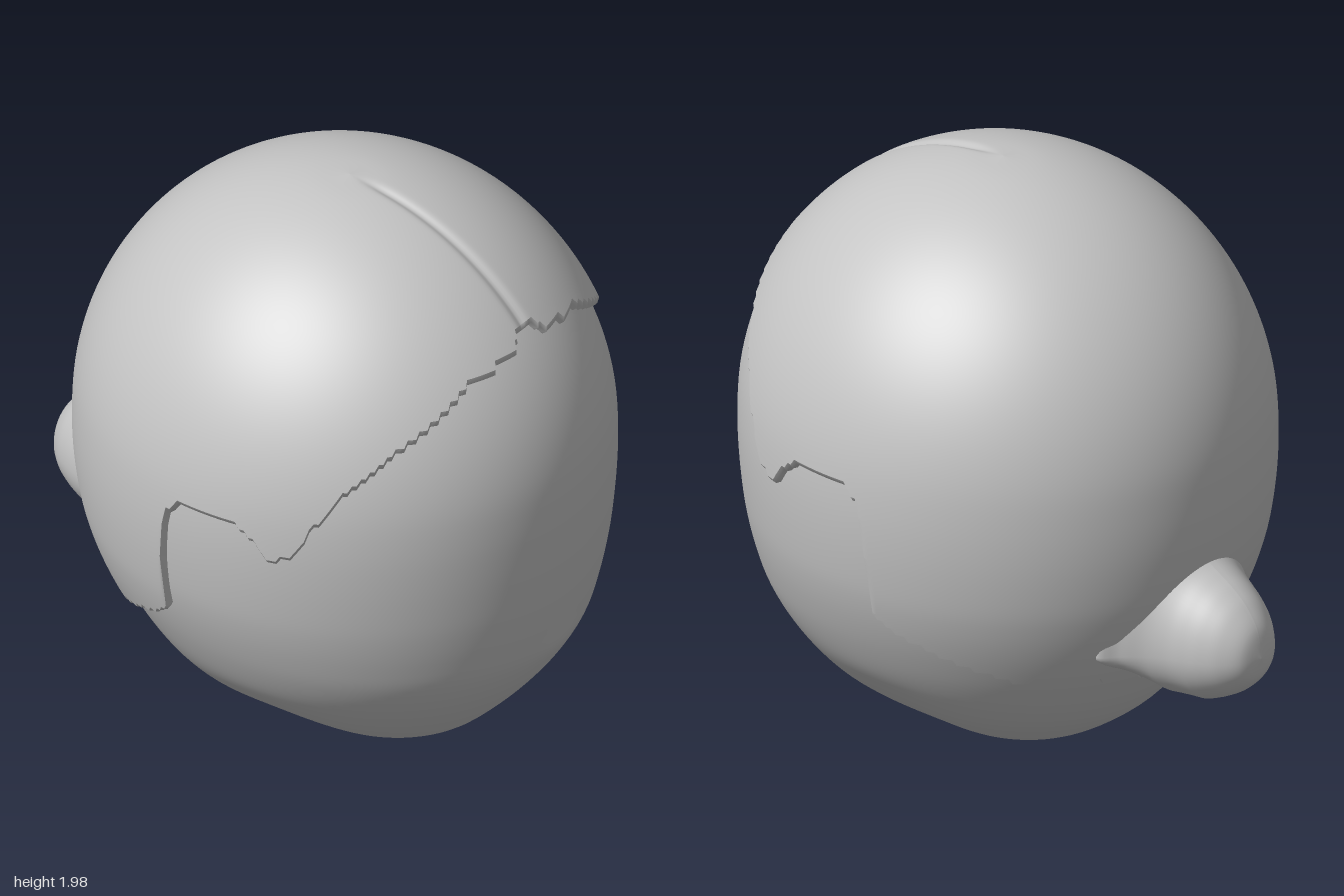
import * as THREE from 'three';

const COLS = 360;

// Skull cross-sections from chin to cheeks: height, half width, front z, back z
const SECTIONS = [
  [0.03, 0, 0.15, 0.15], [0.012, 0.13, 0.37, -0.06], [0.04, 0.235, 0.5, -0.17],
  [0.1, 0.34, 0.61, -0.29], [0.2, 0.47, 0.715, -0.425], [0.3, 0.565, 0.803, -0.515],
  [0.4, 0.637, 0.875, -0.58], [0.5, 0.692, 0.927, -0.635], [0.6, 0.735, 0.953, -0.68],
  [0.7, 0.768, 0.971, -0.714], [0.8, 0.79, 0.983, -0.737], [0.94, 0.807, 0.993, -0.753],
];
// Rounded dome from the temples to the crown
for (let i = 0; i <= 10; i++) {
  const a = (i / 10) * Math.PI / 2, r = 0.875 * Math.cos(a);
  SECTIONS.push([1.08 + 0.88 * Math.sin(a), 0.812 * Math.cos(a), 0.12 + r, 0.12 - r]);
}
const curveOf = (pick) => new THREE.CatmullRomCurve3(SECTIONS.map(pick), false, 'catmullrom', 0.5);
const sideCurve = curveOf(([y, w]) => new THREE.Vector3(w, y, 0));
const depthCurve = curveOf(([, , f, b]) => new THREE.Vector3(f, b, 0));
const CENTRE = new THREE.Vector3(0, 1.05, 0.12);
const bell = (v, size) => Math.exp(-((v / size) ** 2));

// Point on the skull at profile position u and angle t around it, pushed out by offset
function skullPoint(u, t, offset) {
  const s = sideCurve.getPoint(u), d = depthCurve.getPoint(u);
  const p = new THREE.Vector3(
    Math.max(s.x, 0) * Math.sin(t), s.y,
    (d.x + d.y) / 2 + ((d.x - d.y) / 2) * Math.cos(t));
  const dir = p.clone().sub(CENTRE).normalize();
  return p.addScaledVector(dir, offset);
}

// Profile position for a given height
function profileAt(y) {
  let lo = 0.1, hi = 1;
  for (let i = 0; i < 30; i++) {
    const mid = (lo + hi) / 2;
    if (sideCurve.getPoint(mid).y < y) lo = mid; else hi = mid;
  }
  return lo;
}

// Closed-around grid of points, rows running upwards
function wrapGrid(rows, pointAt) {
  const pos = [], index = [];
  for (let i = 0; i < rows; i++) {
    for (let j = 0; j < COLS; j++) {
      const p = pointAt(i, (j / COLS) * Math.PI * 2);
      pos.push(p.x, p.y, p.z);
    }
  }
  for (let i = 0; i < rows - 1; i++) {
    for (let j = 0; j < COLS; j++) {
      const k = (j + 1) % COLS;
      const a = i * COLS + j, b = i * COLS + k, c = a + COLS, d = b + COLS;
      index.push(a, b, d, a, d, c);
    }
  }
  const g = new THREE.BufferGeometry();
  g.setAttribute('position', new THREE.Float32BufferAttribute(pos, 3));
  g.setIndex(index);
  g.computeVertexNormals();
  return g;
}

// Hairline: degrees from the front, height
const HAIRLINE = [
  [0, 1.65], [3.5, 1.65], [5, 1.62], [12, 1.6], [25, 1.58], [45, 1.43], [58, 1.29], [64, 1.18],
  [69, 1.06], [74, 1.03], [77.5, 1.1], [81, 1.14], [95, 1.14], [98, 1.09], [99.7, 1.0],
  [100.7, 0.7], [105, 0.65], [123, 0.54], [134, 0.49], [154, 0.475], [168, 0.45], [180, 0.44],
];
function hairlineHeight(t) {
  const deg = THREE.MathUtils.radToDeg(Math.min(t, Math.PI * 2 - t));
  let i = 1;
  while (i < HAIRLINE.length - 1 && HAIRLINE[i][0] < deg) i++;
  const [d0, y0] = HAIRLINE[i - 1], [d1, y1] = HAIRLINE[i];
  const y = THREE.MathUtils.lerp(y0, y1, Math.min(1, (deg - d0) / (d1 - d0)));
  return Math.round(y / 0.022) * 0.022; // stepped edge
}

function headGeometry() {
  const rows = 90;
  return wrapGrid(rows, (i, t) => {
    const p = skullPoint(i / (rows - 1), t, 0);
    // Hollow under the jaw between chin and neck
    const low = THREE.MathUtils.smoothstep(0.4 - p.y, 0, 0.4);
    p.x *= 1 - 0.12 * low * bell(p.z - 0.15, 0.2);
    // Faint mouth
    if (p.z > 0) p.z += 0.006 * bell(p.x, 0.1) * bell(p.y - 0.5, 0.05);
    return p;
  });
}

function hairGeometry() {
  const rows = 80;
  const starts = new Map();
  const lowest = profileAt(0.43);
  return wrapGrid(rows, (i, t) => {
    if (!starts.has(t)) starts.set(t, profileAt(hairlineHeight(t)));
    const u0 = starts.get(t);
    // The first rows form the rolled rim, the rest share heights all around
    const shared = lowest + (1 - lowest) * ((i - 2) / (rows - 3));
    const u = i < 2 ? u0 : Math.min(1, Math.max(u0 + 0.005, shared));
    const p = skullPoint(u, t, [-0.02, 0.018][i] ?? 0.03);
    // Parting along the top
    if (i > 1 && p.z > 0.15) {
      const depth = 0.011 * bell(p.x, 0.018) * Math.min(1, (p.z - 0.15) / 0.1);
      p.copy(skullPoint(u, t, 0.03 - depth));
    }
    p.x = THREE.MathUtils.clamp(p.x, -0.84, 0.84);
    return p;
  });
}

// Bun turned around a backward axis, flaring into the hair above and at the sides
function bunGeometry() {
  const profile = new THREE.SplineCurve([
    [0.2, 0.52], [0.35, 0.6], [0.3, 0.66], [0.25, 0.715], [0.215, 0.77], [0.19, 0.825],
    [0.165, 0.88], [0.13, 0.935], [0.075, 0.983], [0, 1.0],
  ].map(([r, d]) => new THREE.Vector2(r, d))).getPoints(48);
  profile[profile.length - 1].x = 0;
  const g = new THREE.LatheGeometry(profile, 64);
  g.rotateX(-Math.PI / 2);
  const pos = g.attributes.position;
  for (let i = 0; i < pos.count; i++) {
    const x = pos.getX(i), y = pos.getY(i), r = Math.hypot(x, y) || 1;
    // The underside stays shallow and rises towards the head
    const limit = 0.188 - 0.9 * Math.max(0, 0.73 + pos.getZ(i));
    pos.setY(i, 0.58 + y * (y > 0 ? 1.25 : Math.min(1, Math.max(limit, 0.03) / r)));
  }
  g.computeVertexNormals();
  return g;
}

export function createModel() {
  const grey = new THREE.MeshStandardMaterial({ color: 0xc4c4c4, side: THREE.DoubleSide });
  grey.name = 'grey';
  const group = new THREE.Group();
  group.name = 'headWithHair';
  const add = (name, geometry) => {
    const mesh = new THREE.Mesh(geometry, grey);
    mesh.name = name;
    group.add(mesh);
  };
  add('head', headGeometry());
  add('hair', hairGeometry());
  add('bun', bunGeometry());
  return group;
}
